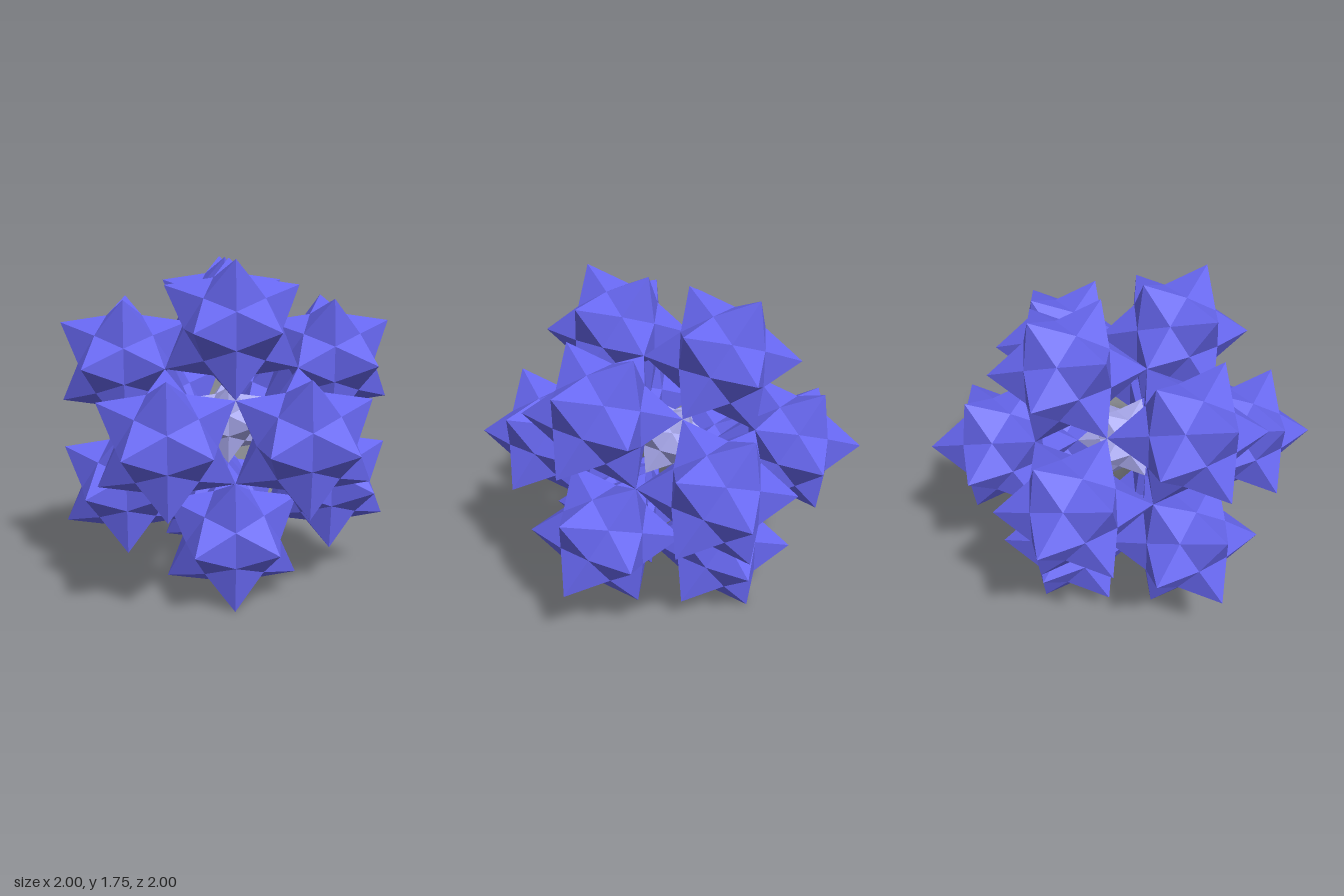
import * as THREE from 'three';

const PHI = (1 + Math.sqrt(5)) / 2;
const RING = 0.334;          // distance scale of the twelve outer stars
const STAR = RING / PHI;     // size of an outer star, so that tips touch
const CORE = STAR / PHI;     // size of the central star
const BODY = PHI / Math.sqrt(5); // size of the dodecahedral body against the tips

// Sign variations of the cyclic turns of (0, a, b)
function cyclic(a, b) {
  const out = [];
  for (const i of [-a, a]) {
    for (const j of [-b, b]) {
      out.push(new THREE.Vector3(0, i, j), new THREE.Vector3(i, j, 0), new THREE.Vector3(j, 0, i));
    }
  }
  return out;
}

// Twelve spike tips and the twenty corners of the body
const tips = cyclic(1, PHI);
const corners = cyclic(PHI, 1 / PHI);
for (const x of [-1, 1]) for (const y of [-1, 1]) for (const z of [-1, 1]) corners.push(new THREE.Vector3(x, y, z));

// A five-sided pyramid on every face of a dodecahedron
function starGeometry() {
  const points = [];
  for (const tip of tips) {
    const axis = tip.clone().normalize();
    const base = [...corners].sort((p, q) => q.dot(axis) - p.dot(axis)).slice(0, 5);
    const e1 = base[0].clone().addScaledVector(axis, -base[0].dot(axis)).normalize();
    const e2 = axis.clone().cross(e1);
    const angle = p => Math.atan2(p.dot(e2), p.dot(e1));
    base.sort((p, q) => angle(p) - angle(q));
    for (let i = 0; i < 5; i++) {
      points.push(tip, base[i].clone().multiplyScalar(BODY), base[(i + 1) % 5].clone().multiplyScalar(BODY));
    }
  }
  const geometry = new THREE.BufferGeometry().setFromPoints(points);
  geometry.computeVertexNormals();
  return geometry;
}

export function createModel() {
  const model = new THREE.Group();
  model.name = 'starCluster';
  const geometry = starGeometry();
  const blue = new THREE.MeshStandardMaterial({ color: 0x6666ee, flatShading: true });
  const pale = new THREE.MeshStandardMaterial({ color: 0xaaaaee, flatShading: true });

  const cluster = new THREE.Group();
  cluster.name = 'starBall';
  cluster.rotation.y = -Math.PI / 4;
  cluster.position.y = PHI * (RING + STAR);
  model.add(cluster);

  // Outer stars on the corners of an icosahedron
  tips.forEach((tip, i) => {
    const star = new THREE.Mesh(geometry, blue);
    star.name = `outerStar${i + 1}`;
    star.position.copy(tip).multiplyScalar(RING);
    star.scale.setScalar(STAR);
    cluster.add(star);
  });

  // Small star in the middle, touching the inward tips
  const core = new THREE.Mesh(geometry, pale);
  core.name = 'centreStar';
  core.scale.setScalar(CORE);
  cluster.add(core);

  return model;
}
